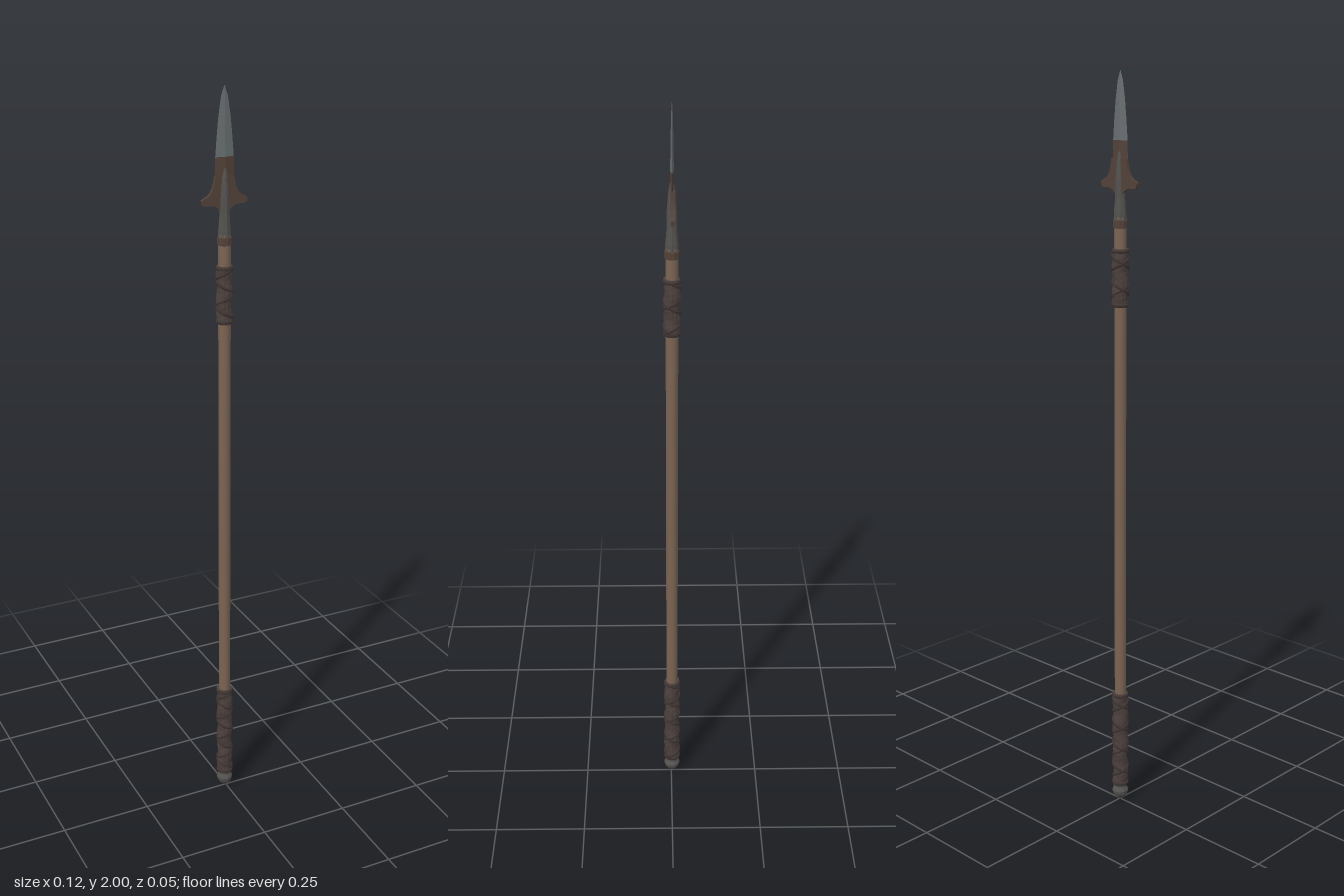
import * as THREE from 'three';

const mat = (name, color) => {
  const m = new THREE.MeshStandardMaterial({ color });
  m.name = name;
  return m;
};

export function createModel() {
  const wood = mat('wood', 0x7b6453);
  const leather = mat('dark leather', 0x4b403d);
  const strap = mat('leather strap', 0x3e3432);
  const steel = mat('steel', 0x686e70);
  const rust = mat('rusted steel', 0x524239);
  const iron = mat('dark iron', 0x54524f);
  for (const m of [leather, steel, rust, iron]) m.flatShading = true;

  const spear = new THREE.Group();
  spear.name = 'spear';
  spear.position.set(-0.003, 0, -0.002);

  const add = (name, geometry, material) => {
    const mesh = new THREE.Mesh(geometry, material);
    mesh.name = name;
    spear.add(mesh);
    return mesh;
  };
  const lathe = (name, points, sides, material, depth = 1) => {
    const profile = points.map(([r, y]) => new THREE.Vector2(r, y));
    const mesh = add(name, new THREE.LatheGeometry(profile, sides), material);
    mesh.scale.z = depth;
    return mesh;
  };

  // Long wooden shaft
  lathe('shaft', [[0, 0.04], [0.016, 0.04], [0.016, 1.64], [0, 1.64]], 12, wood);

  // Lumpy leather grip with a spiral strap over it
  const grip = (name, y0, y1, turns) => {
    const h = y1 - y0;
    const g = new THREE.CylinderGeometry(0.021, 0.021, h, 12, Math.round(h / 0.012));
    const p = g.attributes.position;
    for (let i = 0; i < p.count; i++) {
      const x = p.getX(i), y = p.getY(i), z = p.getZ(i);
      const a = Math.atan2(z, x);
      const k = 1 + 0.07 * Math.sin(a + y * 75) + 0.05 * Math.sin(2 * a - y * 130);
      p.setXYZ(i, x * k, y, z * k);
    }
    g.translate(0, (y0 + y1) / 2, 0);
    g.computeVertexNormals();
    add(name, g, leather);

    for (const [i, side] of [1, -1].entries()) {
      const pts = [];
      for (let j = 0; j <= turns * 10; j++) {
        const t = j / (turns * 10), a = side * t * turns * Math.PI * 2 + i;
        pts.push(new THREE.Vector3(Math.cos(a) * 0.0205, y0 + 0.008 + t * (h - 0.016), Math.sin(a) * 0.0205));
      }
      add(name + 'Strap', new THREE.TubeGeometry(new THREE.CatmullRomCurve3(pts), turns * 16, 0.004, 5), strap);
    }
    for (const y of [y0 + 0.006, y1 - 0.006]) {
      const ring = add(name + 'Binding', new THREE.TorusGeometry(0.019, 0.005, 6, 14), strap);
      ring.rotation.x = Math.PI / 2;
      ring.position.y = y;
    }
  };
  grip('lowerGrip', 0.05, 0.33, 4);
  grip('upperGrip', 1.41, 1.56, 2);

  // Butt cap
  lathe('buttCap', [[0, 0], [0.011, 0.008], [0.021, 0.022], [0.023, 0.032], [0.017, 0.042], [0.017, 0.055], [0, 0.055]], 10, iron);

  // Socket, running up into the blade as a tapering ridge
  lathe('socketCollar', [[0.015, 1.612], [0.019, 1.614], [0.019, 1.632], [0.015, 1.636]], 10, rust);
  lathe('socket', [[0, 1.615], [0.017, 1.615], [0.0165, 1.65], [0.013, 1.69], [0.013, 1.73], [0.009, 1.78], [0.001, 1.825]], 8, iron);

  // Flat diamond-section blade, weathered towards the guard
  lathe('bladeBase', [[0.012, 1.69], [0.023, 1.715], [0.03, 1.74], [0.026, 1.78], [0.025, 1.83]], 4, rust, 0.18);
  lathe('blade', [[0.025, 1.83], [0.021, 1.88], [0.016, 1.93], [0.009, 1.975], [0, 2]], 4, steel, 0.18);

  // Side wings of the guard, each curving out to a blunt lug
  for (const side of [1, -1]) {
    const s = new THREE.Shape();
    s.moveTo(0, 1.7);
    s.lineTo(side * 0.014, 1.7);
    s.quadraticCurveTo(side * 0.026, 1.716, side * 0.05, 1.712);
    s.lineTo(side * 0.06, 1.715);
    s.lineTo(side * 0.062, 1.727);
    s.lineTo(side * 0.053, 1.733);
    s.quadraticCurveTo(side * 0.031, 1.737, side * 0.025, 1.785);
    s.lineTo(0, 1.785);
    const g = new THREE.ExtrudeGeometry(s, { depth: 0.009, bevelEnabled: false, curveSegments: 5 });
    add(side > 0 ? 'leftWing' : 'rightWing', g.translate(0, 0, -0.0065), rust);
  }

  const model = new THREE.Group();
  model.name = 'model';
  model.add(spear);
  return model;
}
